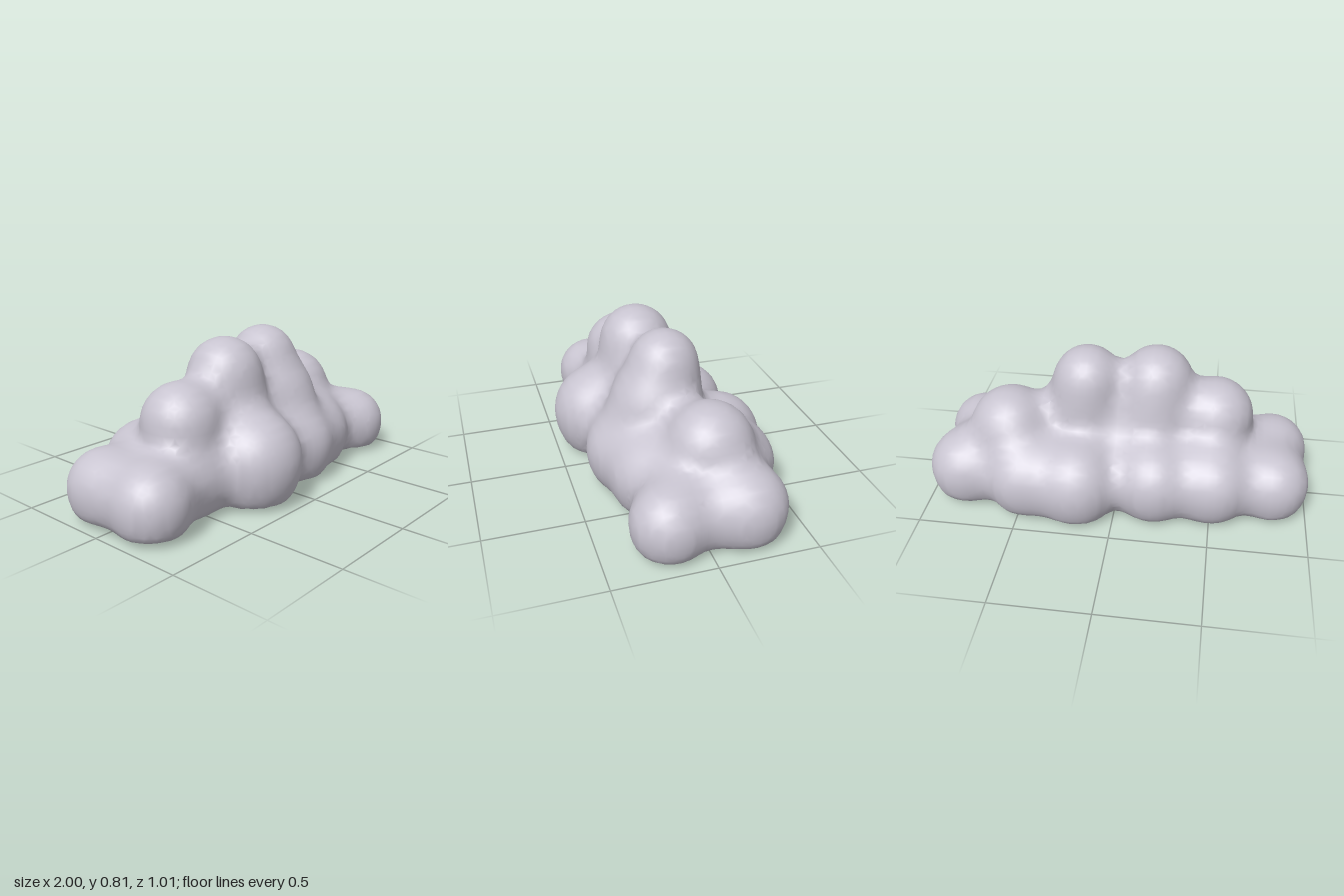
import * as THREE from 'three';
import { toCreasedNormals } from 'three/addons/utils/BufferGeometryUtils.js';

// Puffs of the cloud: x, y, z, radius
const puffs = [
  // crown
  [-0.18, 0.62, 0.05, 0.188], [0.175, 0.635, 0.005, 0.175],
  // core under the crown
  [-0.16, 0.42, 0.04, 0.22], [0.19, 0.44, 0.03, 0.21], [0.2, 0.4, 0.08, 0.2],
  // shoulders
  [-0.49, 0.44, 0.05, 0.2], [0.57, 0.375, -0.1, 0.215],
  // filling of the base
  [-0.8, 0.16, 0.02, 0.14], [-0.45, 0.17, -0.03, 0.24], [0, 0.17, 0, 0.28],
  [0.45, 0.17, -0.05, 0.26], [0.65, 0.18, 0.06, 0.17], [0.78, 0.16, -0.02, 0.14],
  // front of the base
  [-0.2, 0.22, 0.255, 0.248], [0.2, 0.19, 0.2, 0.215], [0.44, 0.18, 0.15, 0.2], [-0.55, 0.18, 0.1, 0.2],
  // back of the base
  [0.2, 0.19, -0.28, 0.225], [0.47, 0.19, -0.27, 0.205], [-0.2, 0.2, -0.23, 0.21], [-0.5, 0.19, -0.2, 0.205],
  // four end puffs
  [-0.81, 0.16, 0.17, 0.19], [-0.81, 0.16, -0.135, 0.19], [0.81, 0.16, 0.175, 0.185], [0.8, 0.17, -0.2, 0.2],
];

// Softly blended union of the puffs, cut by a nearly flat underside
const BLEND = 0.11, RIM = 0.03;
function field(x, y, z) {
  let d = 10;
  for (const [px, py, pz, r] of puffs) {
    const dy = y < py ? (y - py) * 0.83 : y - py; // lower halves are a little steeper
    const s = Math.hypot(x - px, dy, z - pz) - r;
    const h = Math.max(BLEND - Math.abs(d - s), 0) / BLEND;
    d = Math.min(d, s) - h * h * BLEND / 4;
  }
  const floor = 0.02 * x * x + 0.09 * z * z - y;
  const h = Math.max(RIM - Math.abs(d - floor), 0) / RIM;
  return Math.max(d, floor) + h * h * RIM / 4;
}

// Move a point along the field's gradient on to the surface
function settle(p) {
  const e = 0.002;
  for (let i = 0; i < 3; i++) {
    const d = field(...p);
    const g = [0, 1, 2].map((a) => {
      const q = [...p], r = [...p];
      q[a] += e;
      r[a] -= e;
      return field(...q) - field(...r);
    });
    const len = Math.hypot(...g) || 1;
    p = p.map((v, a) => v - d * g[a] / len);
  }
  return p;
}

// Skin the field with one vertex per crossed grid cell
function skin() {
  const cell = 0.04, n = [58, 27, 32], low = [-1.14, -0.11, -0.62];
  const id = (i, j, k) => (i * n[1] + j) * n[2] + k;
  const at = (g) => g.map((v, a) => low[a] + v * cell);
  const values = [], corners = [], vertexOf = new Map(), positions = [], index = [];
  for (let i = 0; i < n[0]; i++)
    for (let j = 0; j < n[1]; j++)
      for (let k = 0; k < n[2]; k++) {
        values.push(field(...at([i, j, k])));
        corners.push([i, j, k]);
      }
  const shift = (g, axis, by) => g.map((v, a) => (a === axis ? v + by : v));

  // vertices
  for (const g of corners) {
    if (g.some((v, a) => v >= n[a] - 1)) continue;
    const sum = [0, 0, 0];
    let count = 0;
    for (let c = 0; c < 8; c++)
      for (let a = 0; a < 3; a++) {
        if (c & (1 << a)) continue;
        const p = [g[0] + (c & 1), g[1] + ((c >> 1) & 1), g[2] + ((c >> 2) & 1)];
        const f0 = values[id(...p)], f1 = values[id(...shift(p, a, 1))];
        if ((f0 < 0) === (f1 < 0)) continue;
        at(shift(p, a, f0 / (f0 - f1))).forEach((v, b) => { sum[b] += v; });
        count++;
      }
    if (!count) continue;
    vertexOf.set(id(...g), positions.length / 3);
    positions.push(...settle(sum.map((v) => v / count)));
  }

  // faces around every crossed grid edge
  for (const g of corners)
    for (let a = 0; a < 3; a++) {
      if (g.some((v, b) => v < 1 || v >= n[b] - 1)) continue;
      const inside = values[id(...g)] < 0;
      if (inside === values[id(...shift(g, a, 1))] < 0) continue;
      const u = (a + 1) % 3, v = (a + 2) % 3, gu = shift(g, u, -1);
      const q = [g, gu, shift(gu, v, -1), shift(g, v, -1)].map((c) => vertexOf.get(id(...c)));
      if (!inside) q.reverse();
      index.push(q[0], q[1], q[2], q[0], q[2], q[3]);
    }

  const geometry = new THREE.BufferGeometry();
  geometry.setAttribute('position', new THREE.Float32BufferAttribute(positions, 3));
  geometry.setIndex(index);
  return geometry;
}

export function createModel() {
  const group = new THREE.Group();
  group.name = 'cloud';
  const paleGrey = new THREE.MeshStandardMaterial({ color: 0xc8c4d0 });
  paleGrey.name = 'paleGrey';

  const body = new THREE.Mesh(toCreasedNormals(skin(), 0.8), paleGrey);
  body.name = 'cloudBody';
  group.add(body);
  return group;
}
